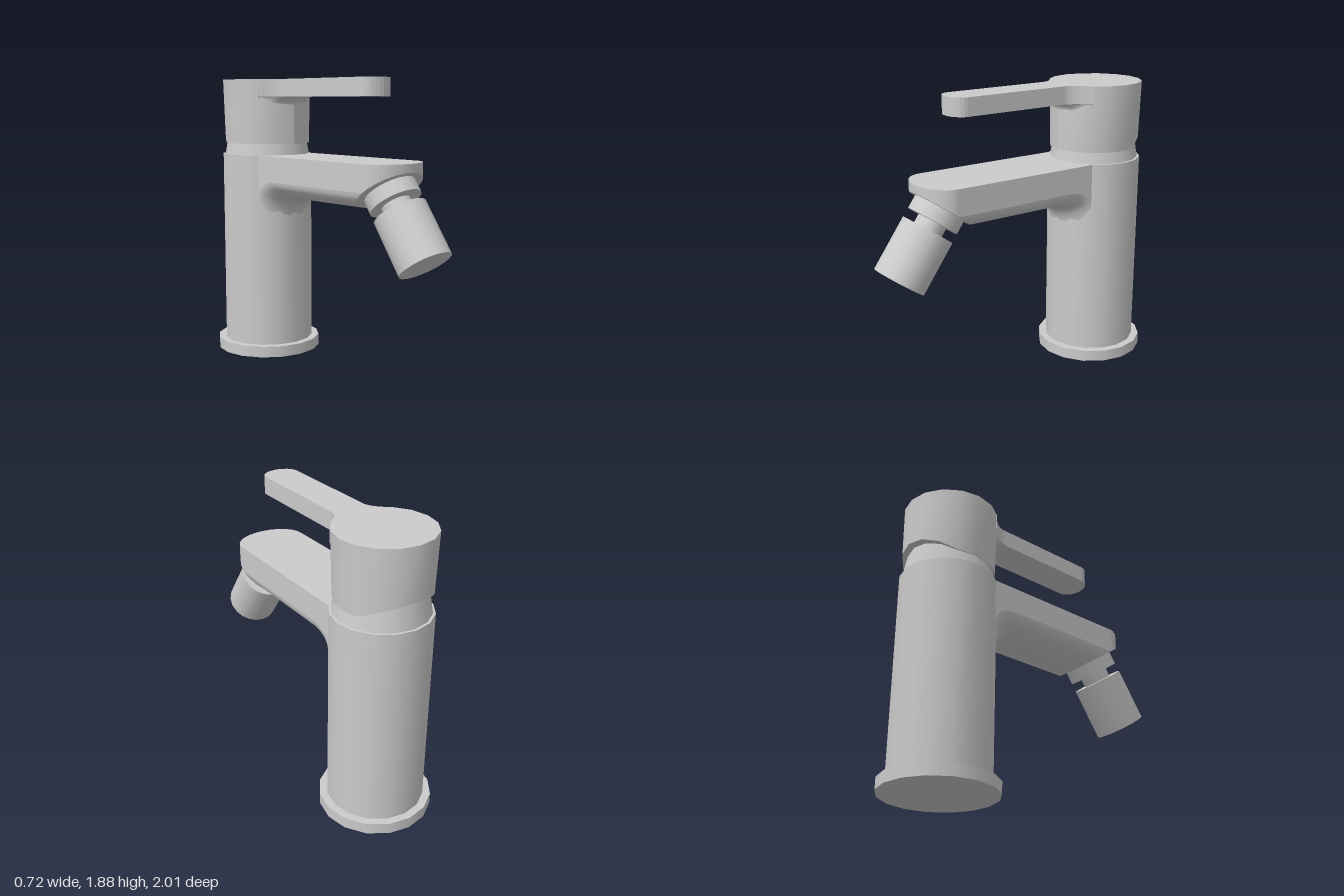
import * as THREE from 'three';
import { mergeGeometries } from 'three/addons/utils/BufferGeometryUtils.js';

const AXIS_Z = -0.64; // centre line of the upright body
const BODY_R = 0.31;
const SIDES = 16;
const material = new THREE.MeshStandardMaterial({ color: 0xcccccc });
const sheetMaterial = new THREE.MeshStandardMaterial({ color: 0xcccccc, side: THREE.DoubleSide });

function addMesh(parent, name, geometry, mat = material) {
  const mesh = new THREE.Mesh(geometry, mat);
  mesh.name = name;
  parent.add(mesh);
  return mesh;
}

// upright cylinder between two heights
function column(rTop, rBottom, y0, y1, sides = SIDES) {
  return new THREE.CylinderGeometry(rTop, rBottom, y1 - y0, sides).translate(0, (y0 + y1) / 2, 0);
}

// smooth sheet through rows holding the same number of points
function strip(rows) {
  const n = rows[0].length;
  const index = [];
  for (let r = 0; r < rows.length - 1; r++) {
    for (let i = 0; i < n - 1; i++) {
      const a = r * n + i, b = a + n;
      index.push(a, b, a + 1, b, b + 1, a + 1);
    }
  }
  const geometry = new THREE.BufferGeometry();
  geometry.setAttribute('position', new THREE.Float32BufferAttribute(rows.flat(2), 3));
  geometry.setIndex(index);
  geometry.computeVertexNormals();
  return geometry;
}

// flat-topped spout with a rounded belly, slanted outlet and fillet into the body
function spoutGeometry() {
  const top = 1.38, n = 16;
  const rim = t => [0.23 * Math.cos(t), 1.21 + 0.118 * Math.sin(t), 0.575 + 0.165 * Math.sin(t)];
  const arc = (from, to) => Array.from({ length: n + 1 }, (_, i) => rim(from + (to - from) * i / n));
  const front = arc(0, Math.PI);
  const under = arc(Math.PI, 2 * Math.PI);

  // belly runs back from the rim, then curves down the body
  const fillet = [[-0.18, 0], [-0.24, -0.01], [-0.29, -0.035], [-0.32, -0.07], [-0.332, -0.11], [-0.345, -0.16]];
  const belly = [under, ...fillet.map(([z, dy]) => under.map(([x, y]) =>
    [x, y + dy, z - (BODY_R - Math.sqrt(BODY_R ** 2 - x * x))]))];

  // side walls and rounded nose
  const rightEdge = belly.map(row => row[n]).reverse();
  const leftEdge = belly.map(row => row[0]);
  const lower = [...rightEdge, ...front.slice(1, -1), ...leftEdge];
  const upper = lower.map(([x, , z]) => [x, top, z]);
  const half = Math.ceil(upper.length / 2);

  return mergeGeometries([
    strip(belly),
    strip([lower, upper]),
    strip([upper.slice(0, half), [...upper].reverse().slice(0, half)]),
    strip([arc(2 * Math.PI, Math.PI), front]), // outlet face
  ]);
}

// handle cap: narrows sideways toward a bottom that rises at the back
function capGeometry() {
  const geometry = column(0.305, 0.305, 1.455, 1.885);
  const p = geometry.attributes.position;
  for (let i = 0; i < p.count; i++) {
    if (p.getY(i) > 1.5) continue;
    p.setX(i, p.getX(i) * 0.935);
    p.setY(i, 1.455 + Math.max(0, -0.11 - p.getZ(i)) * 0.49);
  }
  geometry.computeVertexNormals();
  return geometry;
}

// flat lever with flared root and rounded tip
function leverGeometry() {
  const shape = new THREE.Shape();
  shape.moveTo(0, -0.5);
  shape.lineTo(0.225, -0.435);
  shape.quadraticCurveTo(0.115, -0.355, 0.115, -0.29);
  shape.lineTo(0.115, 0.43);
  shape.absellipse(0, 0.43, 0.115, 0.088, 0, Math.PI, false);
  shape.lineTo(-0.115, -0.29);
  shape.quadraticCurveTo(-0.115, -0.355, -0.225, -0.435);
  return new THREE.ExtrudeGeometry(shape, { depth: 0.115, bevelEnabled: false, curveSegments: 6 })
    .rotateX(Math.PI / 2).translate(0, 1.885, 0);
}

// curved blend under the lever root
function leverFilletGeometry() {
  const outer = [[0.225, -0.435], [0.142, -0.36], [0.115, -0.28], [0, -0.27]];
  const inner = [[0.215, -0.435], [0.16, -0.395], [0.112, -0.362], [0, -0.337]];
  const mirror = pts => [...pts.map(([x, z]) => [-x, z]), ...pts.slice(0, -1).reverse()];
  const a = mirror(outer), b = mirror(inner);
  const rows = [];
  for (let k = 0; k <= 5; k++) {
    const t = k / 5 * Math.PI / 2, s = Math.sin(t);
    rows.push(a.map(([x, z], i) =>
      [x + (b[i][0] - x) * s, 1.77 - 0.065 * (1 - Math.cos(t)), z + (b[i][1] - z) * s]));
  }
  return strip(rows);
}

export function createModel() {
  const model = new THREE.Group();
  model.name = 'basinTap';

  // upright body
  const body = new THREE.Group();
  body.name = 'body';
  body.position.z = AXIS_Z;
  model.add(body);
  addMesh(body, 'baseFlange', column(0.36, 0.36, 0, 0.075));
  addMesh(body, 'bodyColumn', column(BODY_R, BODY_R, 0.07, 1.38));
  addMesh(body, 'neck', column(0.262, 0.295, 1.375, 1.56));

  addMesh(model, 'spout', spoutGeometry(), sheetMaterial);

  // handle
  const handle = new THREE.Group();
  handle.name = 'handle';
  model.add(handle);
  addMesh(handle, 'handleCap', capGeometry()).position.z = AXIS_Z;
  addMesh(handle, 'lever', leverGeometry());
  addMesh(handle, 'leverFillet', leverFilletGeometry(), sheetMaterial);

  // swivel outlet hanging square to the slanted spout face
  const outlet = new THREE.Group();
  outlet.name = 'swivelOutlet';
  outlet.position.set(0, 1.21, 0.575);
  outlet.rotation.x = -Math.atan2(0.118, 0.165);
  model.add(outlet);
  addMesh(outlet, 'collar', column(0.168, 0.168, -0.09, 0.01, 20));
  addMesh(outlet, 'swivelPin', column(0.095, 0.095, -0.16, -0.08, 20));
  addMesh(outlet, 'nozzle', column(0.17, 0.17, -0.51, -0.15, 20));

  return model;
}
